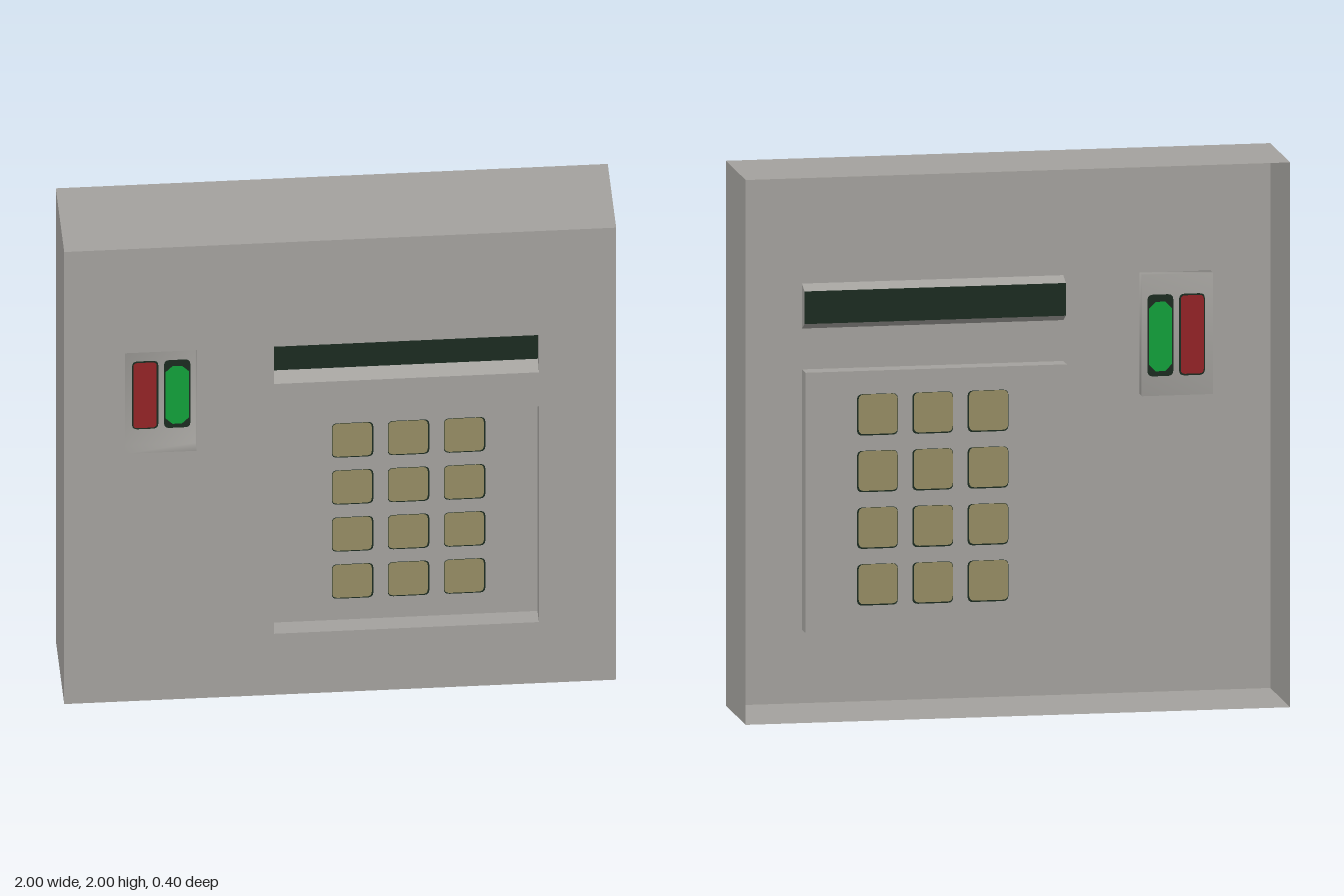
import * as THREE from 'three';

const makeMaterial = (name, color) => {
  const m = new THREE.MeshStandardMaterial({ color, side: THREE.DoubleSide });
  m.name = name;
  return m;
};

// Rectangles are [x0, x1, y0, y1]
const KEYPAD = [-0.24, 0.72, 0.27, 1.225];
const DISPLAY = [-0.24, 0.72, 1.375, 1.54];
const DISPLAY_FLOOR = [-0.24, 0.72, 1.4, 1.52];
const LAMPS = [-0.78, -0.52, 1.095, 1.54];
const FRONT = 0.2;

const corners = ([x0, x1, y0, y1]) => [[x0, y0], [x1, y0], [x1, y1], [x0, y1]];

// Sunken pocket: four walls (group 0) and a floor (group 1)
function pocketGeometry(outer, inner, depth, smooth) {
  const positions = [], index = [];
  corners(outer).forEach(([x, y]) => positions.push(x, y, FRONT));
  corners(inner).forEach(([x, y]) => positions.push(x, y, FRONT - depth));
  for (let i = 0; i < 4; i++) {
    const j = (i + 1) % 4;
    index.push(i, j, j + 4, i, j + 4, i + 4);
  }
  index.push(4, 5, 6, 4, 6, 7);
  let g = new THREE.BufferGeometry();
  g.setAttribute('position', new THREE.Float32BufferAttribute(positions, 3));
  g.setIndex(index);
  if (!smooth) g = g.toNonIndexed();
  g.computeVertexNormals();
  g.addGroup(0, 24, 0);
  g.addGroup(24, 6, 1);
  return g;
}

// Flat rectangle with rounded or, with segments = 1, chamfered corners
function plateGeometry(w, h, r, segments = 4) {
  const s = new THREE.Shape();
  const a = w / 2, b = h / 2;
  s.moveTo(-a + r, -b);
  s.lineTo(a - r, -b);
  s.quadraticCurveTo(a, -b, a, -b + r);
  s.lineTo(a, b - r);
  s.quadraticCurveTo(a, b, a - r, b);
  s.lineTo(-a + r, b);
  s.quadraticCurveTo(-a, b, -a, b - r);
  s.lineTo(-a, -b + r);
  s.quadraticCurveTo(-a, -b, -a + r, -b);
  return new THREE.ShapeGeometry(s, segments);
}

export function createModel() {
  const model = new THREE.Group();
  model.name = 'keypadPanel';
  const grey = makeMaterial('casing grey', 0xa3a19d);
  const dark = makeMaterial('dark green glass', 0x1b2b20);
  const tan = makeMaterial('key tan', 0x958b63);
  const red = makeMaterial('lamp red', 0x922326);
  const green = makeMaterial('lamp green', 0x12a03a);

  const add = (parent, name, geometry, material, x = 0, y = 0, z = 0) => {
    const mesh = new THREE.Mesh(geometry, material);
    mesh.name = name;
    mesh.position.set(x, y, z);
    parent.add(mesh);
    return mesh;
  };
  // Inlays show on both faces of a pocket floor
  const addInlay = (parent, name, geometry, material, x, y, z, lift) => {
    for (const side of [1, -1]) {
      const m = add(parent, name, geometry, material, x, y, z + side * lift);
      if (side < 0) m.rotation.y = Math.PI;
    }
  };

  // Front face with three openings
  const face = new THREE.Shape(corners([-1, 1, 0, 2]).map(p => new THREE.Vector2(...p)));
  for (const rect of [KEYPAD, DISPLAY, LAMPS]) {
    face.holes.push(new THREE.Path(corners(rect).reverse().map(p => new THREE.Vector2(...p))));
  }
  add(model, 'frontFace', new THREE.ShapeGeometry(face), grey, 0, 0, FRONT);

  // Casing sides, open at the back
  for (const s of [-1, 1]) {
    const side = add(model, s > 0 ? 'leftSide' : 'rightSide', new THREE.PlaneGeometry(0.4, 2), grey, s, 1, 0);
    side.rotation.y = s * Math.PI / 2;
    const cap = add(model, s > 0 ? 'topSide' : 'bottomSide', new THREE.PlaneGeometry(2, 0.4), grey, 0, 1 + s, 0);
    cap.rotation.x = -s * Math.PI / 2;
  }

  // Pockets
  add(model, 'keypadPocket', pocketGeometry(KEYPAD, KEYPAD, 0.07, false), [grey, grey]);
  add(model, 'displayPocket', pocketGeometry(DISPLAY, DISPLAY_FLOOR, 0.05, false), [grey, dark]);
  add(model, 'lampPocket', pocketGeometry(LAMPS, LAMPS, 0.05, true), [grey, grey]);

  // Keys, each on a dark surround
  const keys = new THREE.Group();
  keys.name = 'keys';
  model.add(keys);
  const surround = plateGeometry(0.15, 0.152, 0.02);
  const key = plateGeometry(0.143, 0.146, 0.02);
  for (let row = 0; row < 4; row++) {
    for (let col = 0; col < 3; col++) {
      const x = 0.05 + col * 0.203, y = 1.064 - row * 0.208;
      addInlay(keys, 'keySurround', surround, dark, x, y, 0.13, 0.0015);
      addInlay(keys, 'key', key, tan, x - 0.002, y + 0.002, 0.13, 0.003);
    }
  }

  // Indicator lamps on dark surrounds
  const lamps = new THREE.Group();
  lamps.name = 'lamps';
  model.add(lamps);
  const lampBack = plateGeometry(0.095, 0.3, 0.02);
  for (const x of [-0.703, -0.587]) addInlay(lamps, 'lampSurround', lampBack, dark, x, 1.317, 0.15, 0.0015);
  addInlay(lamps, 'redLamp', plateGeometry(0.084, 0.288, 0.015), red, -0.704, 1.317, 0.15, 0.003);
  addInlay(lamps, 'greenLamp', plateGeometry(0.084, 0.255, 0.025, 1), green, -0.587, 1.313, 0.15, 0.003);

  return model;
}
